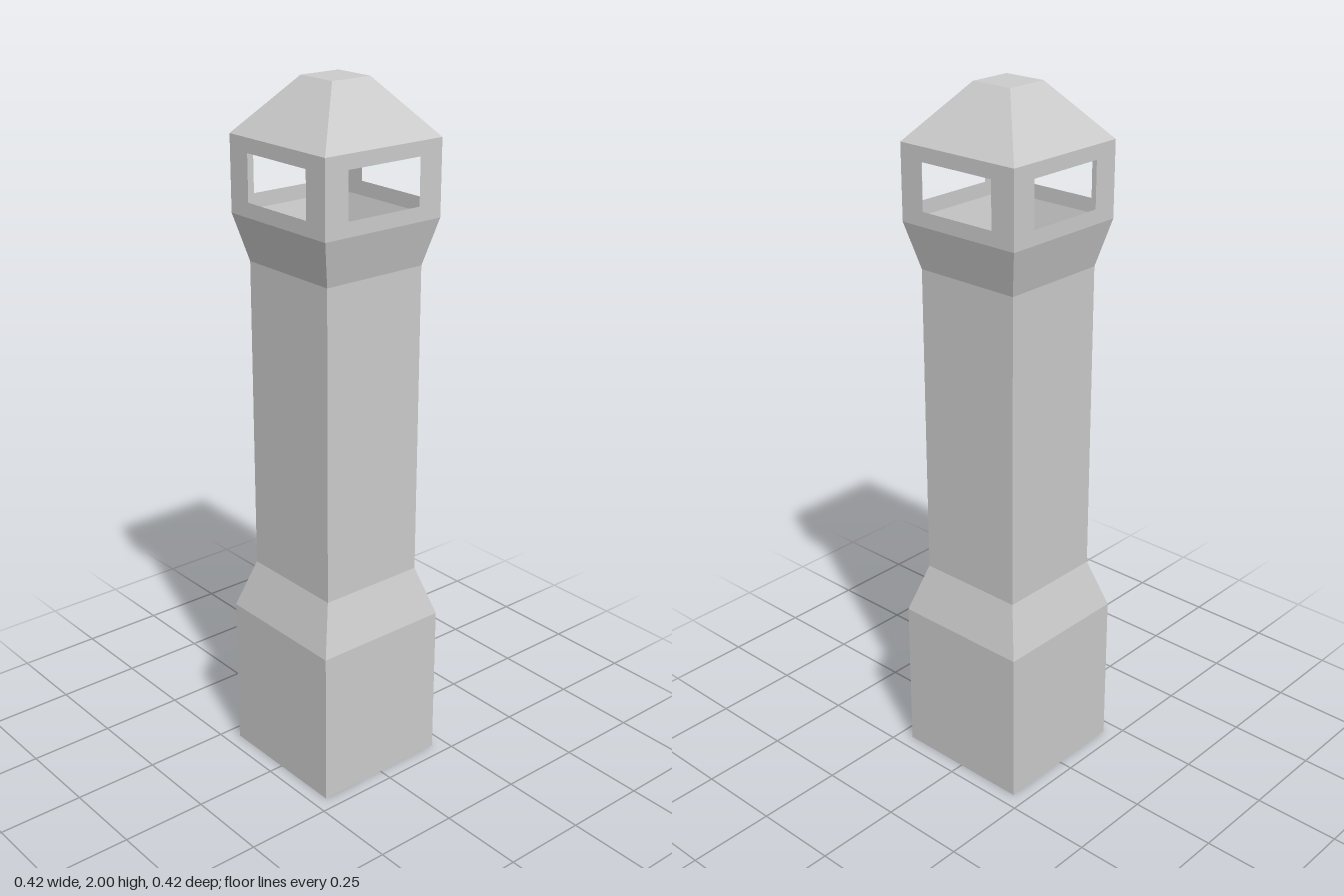
import * as THREE from 'three';

const material = new THREE.MeshStandardMaterial({
  color: 0xcccccc, flatShading: true, side: THREE.DoubleSide,
});

function addMesh(parent, name, geometry) {
  const mesh = new THREE.Mesh(geometry, material);
  mesh.name = name;
  parent.add(mesh);
  return mesh;
}

// Open square tube from half-width h0 at y0 to half-width h1 at y1
function squareSection(parent, name, y0, h0, y1, h1) {
  const geometry = new THREE.CylinderGeometry(
    h1 * Math.SQRT2, h0 * Math.SQRT2, y1 - y0, 4, 1, true);
  geometry.rotateY(Math.PI / 4);
  geometry.translate(0, (y0 + y1) / 2, 0);
  return addMesh(parent, name, geometry);
}

// Flat square closing a section; facing is +1 for up, -1 for down
function squareCap(parent, name, y, h, facing) {
  const geometry = new THREE.PlaneGeometry(2 * h, 2 * h);
  geometry.rotateX(-facing * Math.PI / 2);
  geometry.translate(0, y, 0);
  return addMesh(parent, name, geometry);
}

function rectangle(path, h, y0, y1) {
  path.moveTo(-h, y0);
  path.lineTo(h, y0);
  path.lineTo(h, y1);
  path.lineTo(-h, y1);
  path.closePath();
  return path;
}

export function createModel() {
  const tower = new THREE.Group();
  tower.name = 'tower';

  const base = 0.208, shaft = 0.162, head = 0.195, top = 0.063;

  // Base block, shaft and the flare under the lookout
  squareCap(tower, 'baseBottom', 0, base, -1);
  squareSection(tower, 'base', 0, base, 0.458, base);
  squareSection(tower, 'baseTaper', 0.458, base, 0.603, shaft);
  squareSection(tower, 'shaft', 0.603, shaft, 1.506, shaft);
  squareSection(tower, 'headFlare', 1.506, shaft, 1.637, head);

  // Hollow lookout: four thin walls, each with a window
  const wall = rectangle(new THREE.Shape(), head, 1.637, 1.848);
  wall.holes.push(rectangle(new THREE.Path(), 0.12, 1.678, 1.808));
  const lookout = new THREE.Group();
  lookout.name = 'lookout';
  tower.add(lookout);
  ['front', 'left', 'back', 'right'].forEach((side, i) => {
    const geometry = new THREE.ShapeGeometry(wall);
    geometry.translate(0, 0, head);
    geometry.rotateY(i * Math.PI / 2);
    addMesh(lookout, side + 'WindowWall', geometry);
  });

  // Truncated pyramid roof
  squareSection(tower, 'roof', 1.848, head, 2, top);
  squareCap(tower, 'roofTop', 2, top, 1);

  return tower;
}
